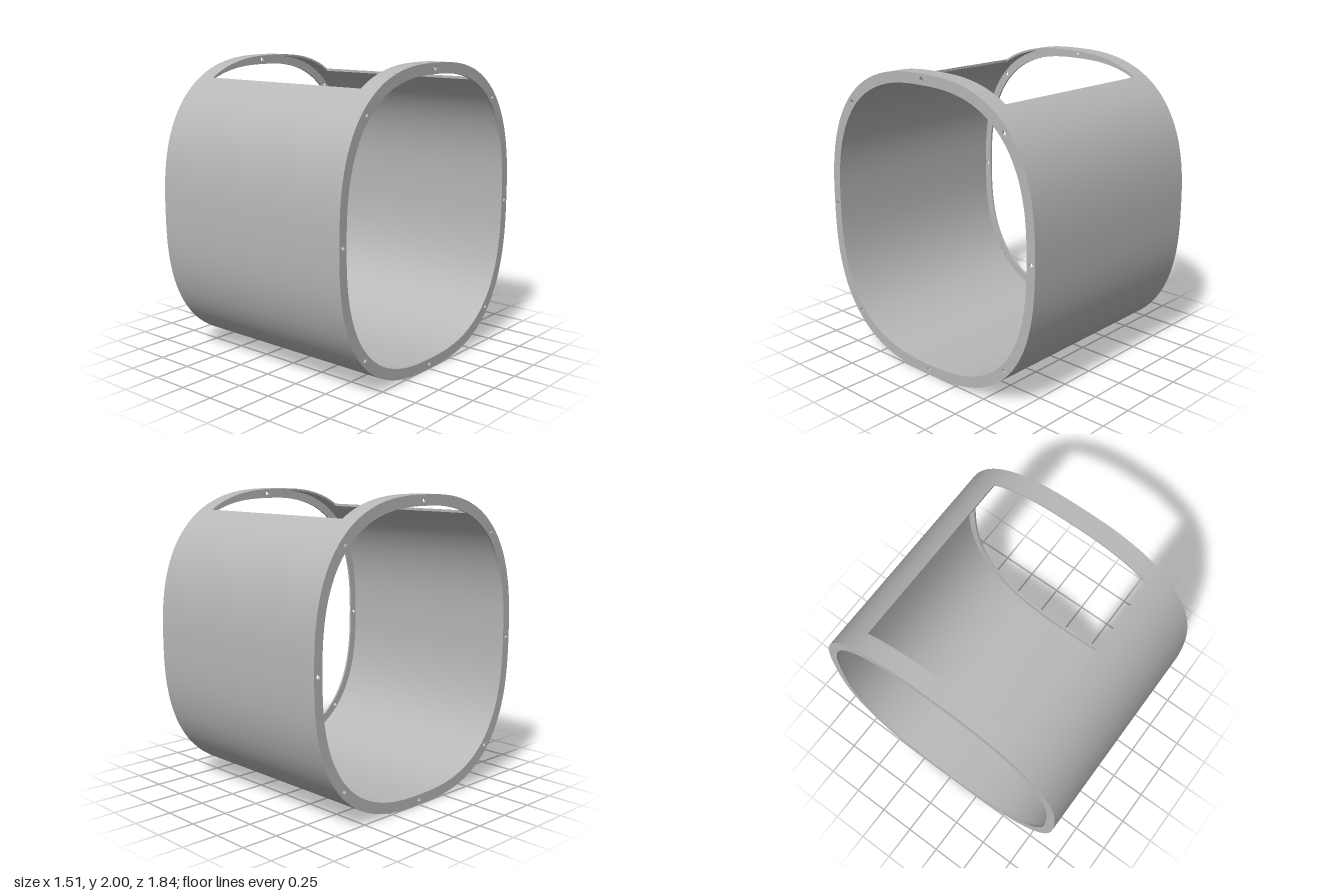
import * as THREE from 'three';
import { toCreasedNormals } from 'three/addons/utils/BufferGeometryUtils.js';

const HALF_W = 0.92, HALF_H = 1, HALF_L = 0.755, POWER = 2.6;
const FLANGE = 0.015;            // end ring thickness along x
const WALL = 0.986, RING = 0.93; // inner scales of the wall and the end rings
const WIN_X = 0.63, WIN_Z = 0.577;

// Point on the rounded-square section at angle t
function sectionPoint(t, s = 1) {
  const c = Math.cos(t), n = Math.sin(t), e = 2 / POWER;
  return new THREE.Vector2(
    s * HALF_W * Math.sign(c) * Math.abs(c) ** e,
    s * HALF_H * Math.sign(n) * Math.abs(n) ** e);
}

function arc(t0, t1, s, count) {
  const pts = [];
  for (let i = 0; i <= count; i++) pts.push(sectionPoint(t0 + (t1 - t0) * i / count, s));
  return pts;
}

// Angle at which the section of scale s meets the window edge
const windowAngle = s => Math.acos((WIN_Z / (HALF_W * s)) ** (POWER / 2));

// Extrude a section along x from x0 to x1
function extrudeX(shape, x0, x1, material, name) {
  const geo = new THREE.ExtrudeGeometry(shape, { depth: x1 - x0, bevelEnabled: false, curveSegments: 12 });
  geo.translate(0, 0, x0);
  geo.rotateY(Math.PI / 2);
  geo.translate(0, HALF_H, 0);
  const mesh = new THREE.Mesh(toCreasedNormals(geo, 0.6), material);
  mesh.name = name;
  return mesh;
}

export function createModel() {
  const model = new THREE.Group();
  model.name = 'flangedSleeve';
  const grey = new THREE.MeshStandardMaterial({ color: 0xb8b8b8 });
  grey.name = 'grey';
  const end = HALF_L - FLANGE;
  const a = windowAngle(1), b = windowAngle(WALL);

  // Thin wall below the window, running the full length
  const lower = new THREE.Shape([
    ...arc(Math.PI - a, Math.PI * 2 + a, 1, 140),
    ...arc(Math.PI * 2 + b, Math.PI - b, WALL, 140)]);
  model.add(extrudeX(lower, -end, end, grey, 'wall'));

  // Wall strips over the top at each end of the window
  const upper = new THREE.Shape([
    ...arc(a, Math.PI - a, 1, 50),
    ...arc(Math.PI - b, b, WALL, 50)]);
  model.add(extrudeX(upper, WIN_X, end, grey, 'leftWindowBridge'));
  model.add(extrudeX(upper, -end, -WIN_X, grey, 'rightWindowBridge'));

  // End rings with eight bolt holes
  const ring = new THREE.Shape(arc(0, Math.PI * 2, 1, 192).slice(0, -1));
  ring.holes.push(new THREE.Path(arc(0, Math.PI * 2, RING, 192).slice(0, -1)));
  for (let i = 0; i < 8; i++) {
    const p = sectionPoint(i * Math.PI / 4, (1 + RING) / 2);
    ring.holes.push(new THREE.Path().absarc(p.x, p.y, 0.014, 0, Math.PI * 2, true));
  }
  model.add(extrudeX(ring, end, HALF_L, grey, 'leftFlange'));
  model.add(extrudeX(ring, -HALF_L, -end, grey, 'rightFlange'));
  return model;
}
